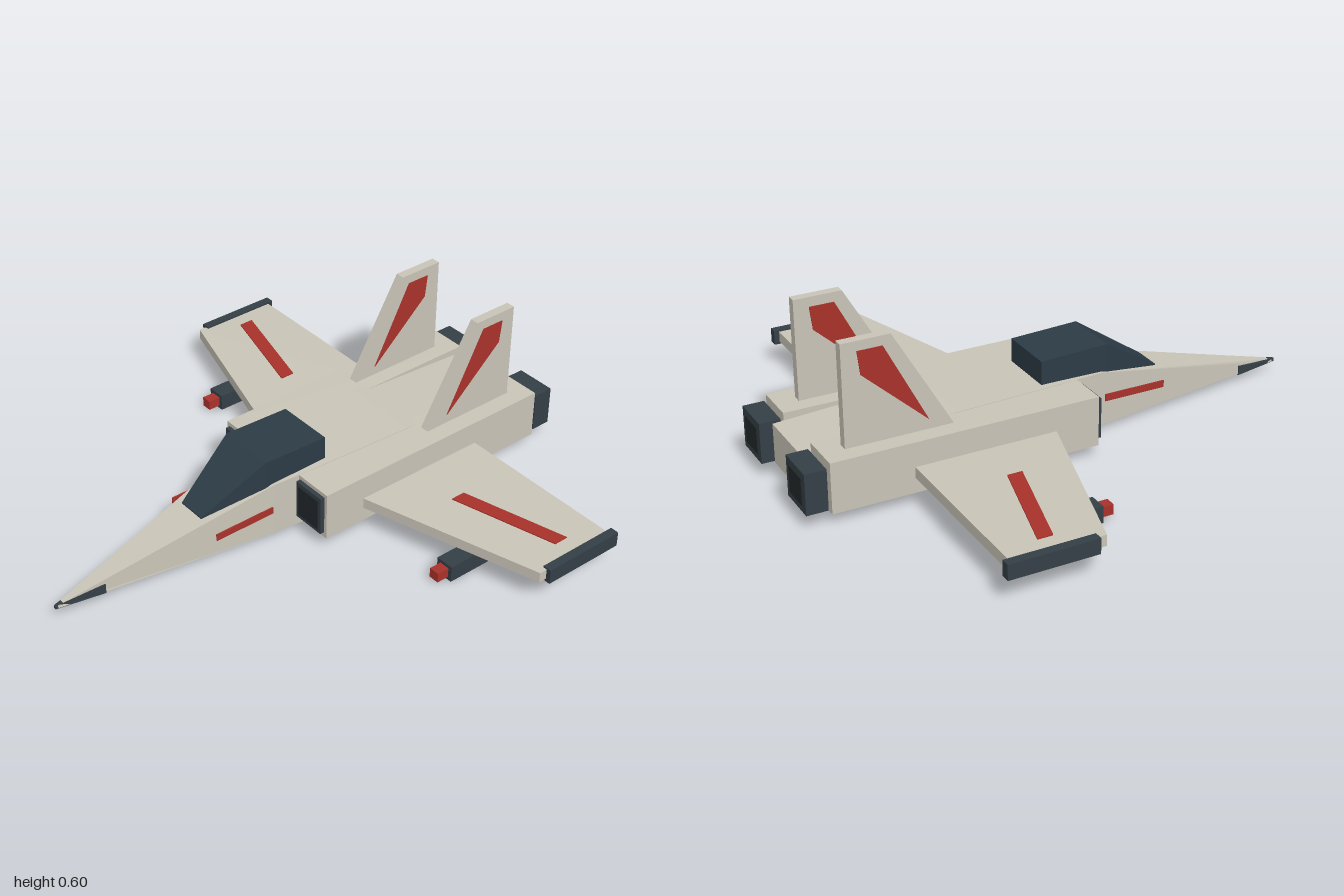
import * as THREE from 'three';

const mat = (color) => new THREE.MeshStandardMaterial({ color, flatShading: true });
const hull = mat(0xc9c4b7), dark = mat(0x343f46), glass = mat(0x2c3b46), black = mat(0x22282a), red = mat(0xa8322a);

// Four-sided loft along z; each section is [z, halfTop, halfBottom, yBottom, yTop], from back to front
function loft(sections) {
  const rings = sections.map(([z, t, b, y0, y1]) => [[-b, y0, z], [b, y0, z], [t, y1, z], [-t, y1, z]]);
  const pos = [];
  const quad = (a, b, c, d) => pos.push(...a, ...b, ...c, ...a, ...c, ...d);
  for (let i = 0; i < rings.length - 1; i++) {
    const p = rings[i], q = rings[i + 1];
    for (let k = 0; k < 4; k++) {
      const n = (k + 1) % 4;
      quad(p[k], p[n], q[n], q[k]);
    }
  }
  const f = rings[0], l = rings[rings.length - 1];
  quad(f[3], f[2], f[1], f[0]);
  quad(l[0], l[1], l[2], l[3]);
  const g = new THREE.BufferGeometry();
  g.setAttribute('position', new THREE.Float32BufferAttribute(pos, 3));
  g.computeVertexNormals();
  return g;
}

// Box given by its limits on each axis
function box(x0, x1, y0, y1, z0, z1) {
  const g = new THREE.BoxGeometry(Math.abs(x1 - x0), y1 - y0, z1 - z0);
  return g.translate((x0 + x1) / 2, (y0 + y1) / 2, (z0 + z1) / 2);
}

const extrude = (pts, depth) => new THREE.ExtrudeGeometry(
  new THREE.Shape(pts.map(([a, b]) => new THREE.Vector2(a, b))), { depth, bevelEnabled: false });

// Horizontal plate from (x, z) points, rising from y0
const flatPlate = (pts, y0, y1) =>
  extrude(pts.map(([x, z]) => [x, -z]), y1 - y0).rotateX(-Math.PI / 2).translate(0, y0, 0);

// Upright plate from (z, y) points, centred on x
const uprightPlate = (pts, x, t) =>
  extrude(pts, t).rotateY(-Math.PI / 2).translate(x + t / 2, 0, 0);

export function createModel() {
  const group = new THREE.Group();
  const add = (name, geometry, material) => {
    const m = new THREE.Mesh(geometry, material);
    m.name = name;
    group.add(m);
  };

  // Fuselage, nose tip and canopy
  add('fuselage', loft([
    [-0.95, 0.12, 0.12, 0.055, 0.2],
    [-0.4, 0.155, 0.155, 0.033, 0.232],
    [0, 0.135, 0.14, 0.024, 0.232],
    [0.18, 0.12, 0.125, 0.027, 0.229],
    [0.99, 0.006, 0.008, 0.042, 0.052],
  ]), hull);
  add('noseTip', loft([
    [0.82, 0.035, 0.035, 0.035, 0.072],
    [1, 0.004, 0.006, 0.041, 0.053],
  ]), dark);
  add('canopy', loft([
    [-0.055, 0.11, 0.11, 0.22, 0.32],
    [0.205, 0.11, 0.11, 0.217, 0.33],
    [0.44, 0.055, 0.055, 0.165, 0.177],
  ]), glass);

  for (const s of [1, -1]) {
    const side = s > 0 ? 'left' : 'right';
    const sx = (pts) => pts.map(([x, z]) => [x * s, z]);
    const block = (x0, x1, ...rest) => box(s * x0, s * x1, ...rest);

    // Engine nacelle with intake and exhaust
    add(side + 'Nacelle', block(0.12, 0.28, 0.045, 0.23, -0.91, 0.075), hull);
    add(side + 'Intake', block(0.135, 0.267, 0.065, 0.215, 0.07, 0.092), dark);
    add(side + 'IntakeOpening', block(0.148, 0.254, 0.08, 0.2, 0.085, 0.095), black);
    add(side + 'Exhaust', block(0.12, 0.275, 0.06, 0.21, -0.997, -0.92), dark);
    add(side + 'ExhaustCore', block(0.145, 0.25, 0.085, 0.185, -1, -0.9), black);

    // Wing with stripe and tip rail
    add(side + 'Wing', flatPlate(sx([[0.2, -0.066], [0.945, -0.285], [0.945, -0.615], [0.2, -0.615]]), 0.1, 0.14), hull);
    add(side + 'WingStripe', flatPlate(sx([[0.475, -0.325], [0.87, -0.43], [0.87, -0.485], [0.475, -0.38]]), 0.138, 0.144), red);
    add(side + 'WingTip', block(0.93, 0.963, 0.09, 0.146, -0.635, -0.315), dark);

    // Underwing store
    add(side + 'Store', block(0.61, 0.68, 0.003, 0.065, -0.455, -0.14), dark);
    add(side + 'StoreTip', block(0.625, 0.665, 0.015, 0.052, -0.14, -0.093), red);

    // Tail fin with a stripe showing on both faces
    add(side + 'Fin', uprightPlate([[-0.435, 0.22], [-0.655, 0.6], [-0.83, 0.6], [-0.83, 0.22]], s * 0.197, 0.034), hull);
    add(side + 'FinStripe', uprightPlate([[-0.53, 0.265], [-0.685, 0.565], [-0.775, 0.565], [-0.765, 0.48]], s * 0.197, 0.04), red);

    // Nose side stripe
    add(side + 'NoseStripe', block(0.126, 0.131, 0.12, 0.146, 0.19, 0.43), red);
  }
  return group;
}
